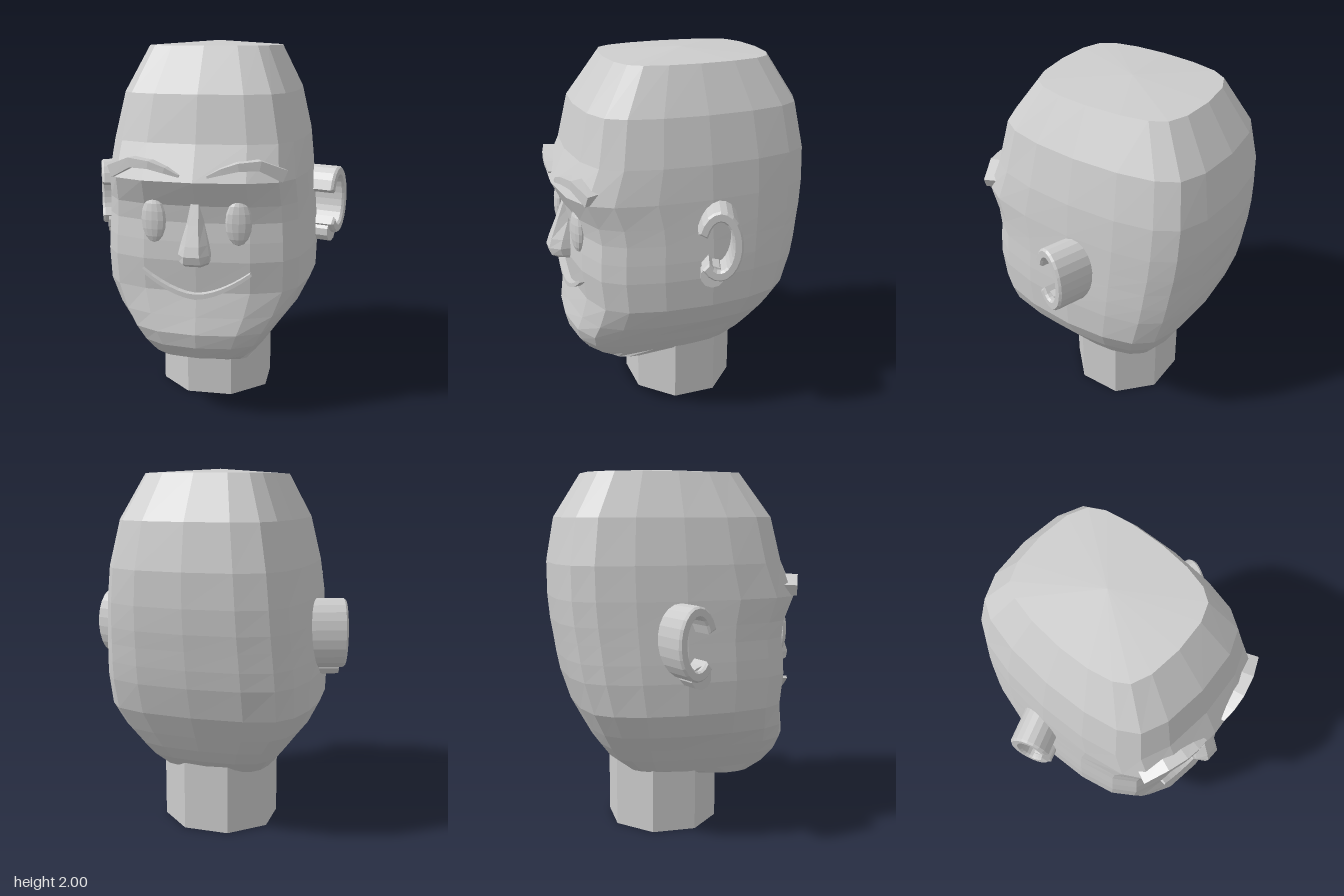
import * as THREE from 'three';

// Skin through closed rings that run counter-clockwise about the travel direction
function loft(rings, endTip) {
  const pos = [];
  const tri = (...p) => p.forEach(v => pos.push(v.x, v.y, v.z));
  const mean = r => r.reduce((s, v) => s.add(v), new THREE.Vector3()).divideScalar(r.length);
  const n = rings[0].length, first = rings[0], last = rings[rings.length - 1];
  const c0 = mean(first), c1 = endTip || mean(last);
  for (let j = 0; j < n; j++) {
    const k = (j + 1) % n;
    for (let i = 0; i < rings.length - 1; i++) {
      const a = rings[i][j], b = rings[i][k], c = rings[i + 1][k], d = rings[i + 1][j];
      tri(a, b, c);
      tri(a, c, d);
    }
    tri(c0, first[k], first[j]);
    tri(c1, last[j], last[k]);
  }
  const g = new THREE.BufferGeometry();
  g.setAttribute('position', new THREE.Float32BufferAttribute(pos, 3));
  g.computeVertexNormals();
  return g;
}

// Tapering four-sided strip along +x; stations are [x, y, z, halfHeight, halfDepth]
function strip(stations) {
  const pts = stations.map(s => new THREE.Vector3(s[0], s[1], s[2]));
  return loft(stations.map(([, , , h, d], i) => {
    const t = pts[Math.min(i + 1, pts.length - 1)].clone().sub(pts[Math.max(i - 1, 0)]).normalize();
    const side = new THREE.Vector3(-t.z, 0, t.x).normalize();
    const up = new THREE.Vector3().crossVectors(side, t);
    return [[1, -1], [1, 1], [-1, 1], [-1, -1]].map(([u, s]) =>
      pts[i].clone().addScaledVector(up, u * h).addScaledVector(side, s * d));
  }));
}

export function createModel() {
  const group = new THREE.Group();
  const grey = new THREE.MeshStandardMaterial({ color: 0xcccccc, flatShading: true });
  grey.name = 'grey';
  const add = (name, geo, parent = group) => {
    const m = new THREE.Mesh(geo, grey);
    m.name = name;
    parent.add(m);
    return m;
  };

  // Head: rounded-rectangle rings, [y, halfWidth, zFront, zBack]
  const quarter = [[0, 1], [0.48, 0.965], [0.76, 0.87], [0.89, 0.7], [0.97, 0.4], [1, 0]];
  const back = quarter.slice(0, 5).reverse().map(([u, v]) => [u, -v]);
  const half = [...quarter, ...back];
  const outline = [...half, ...half.slice(1, -1).reverse().map(([u, v]) => [-u, v])];
  const levels = [
    [0.3, 0.265, 0.43, 0.1], [0.35, 0.317, 0.55, -0.31], [0.43, 0.38, 0.61, -0.41],
    [0.51, 0.44, 0.63, -0.47], [0.6, 0.51, 0.61, -0.52], [0.73, 0.575, 0.585, -0.59],
    [0.9, 0.58, 0.605, -0.645], [1.0, 0.575, 0.6, -0.665], [1.1, 0.567, 0.59, -0.68],
    [1.19, 0.56, 0.605, -0.695], [1.32, 0.55, 0.67, -0.707], [1.5, 0.53, 0.585, -0.708],
    [1.74, 0.473, 0.53, -0.665], [1.975, 0.355, 0.36, -0.515],
  ];
  add('head', loft(levels.map(([y, w, zf, zb]) => {
    const zc = y < 0.32 ? (zf + zb) / 2 : -0.05;
    return outline.map(([u, v]) =>
      new THREE.Vector3(u * w, y, zc + v * (v > 0 ? zf - zc : zc - zb)));
  }), new THREE.Vector3(0, 2, -0.08)));

  // Neck: octagonal column
  const neck = new THREE.CylinderGeometry(0.315, 0.315, 0.6, 8);
  neck.rotateY(Math.PI / 8).scale(1.05, 1, 1).translate(0, 0.3, -0.06);
  add('neck', neck);

  // Nose: widening wedge, [y, halfWidth, ridgeHalfWidth, zFront]
  const nose = [[0.89, 0.068, 0.04, 0.66], [0.91, 0.078, 0.045, 0.695], [0.95, 0.08, 0.04, 0.706],
    [1.0, 0.07, 0.035, 0.69], [1.1, 0.045, 0.025, 0.65], [1.21, 0.036, 0.02, 0.607]];
  add('nose', loft(nose.map(([y, w, f, z]) =>
    [[f, z], [w, z - 0.055], [w, 0.52], [-w, 0.52], [-w, z - 0.055], [-f, z]]
      .map(([x, zz]) => new THREE.Vector3(x, y, zz)))));

  // Mouth: smiling strip
  const smile = [];
  for (let i = -6; i <= 6; i++) {
    const t = i / 6, a = Math.abs(t);
    smile.push([t * 0.285, 0.715 + 0.13 * Math.pow(a, 1.7), 0.597 - 0.015 * a * a,
      0.014 - 0.006 * a, 0.022]);
  }
  add('mouth', strip(smile));

  // Paired features, built on the model's left and mirrored
  const earShape = new THREE.Shape();
  const arc = (rx, ry, from, to, n) => Array.from({ length: n + 1 }, (_, i) => {
    const a = from + (to - from) * i / n;
    return new THREE.Vector2(Math.cos(a) * rx, Math.sin(a) * ry);
  });
  earShape.setFromPoints([...arc(0.108, 0.182, -2.35, 2.72, 18), ...arc(0.076, 0.145, 2.72, -2.35, 18)]);
  const earGeo = new THREE.ExtrudeGeometry(earShape, {
    depth: 0.2, bevelEnabled: true, bevelSize: 0.01, bevelThickness: 0.012, bevelSegments: 1, steps: 1,
  }).translate(0, 0, -0.212);
  const lobeGeo = new THREE.CylinderGeometry(0.062, 0.062, 0.2, 10)
    .rotateX(Math.PI / 2).translate(-0.035, -0.175, -0.13);
  const eyeGeo = new THREE.SphereGeometry(1, 12, 8).scale(0.068, 0.12, 0.03);
  const browGeo = strip([[0.07, 1.35, 0.645, 0.006, 0.02], [0.14, 1.378, 0.64, 0.015, 0.03],
    [0.22, 1.402, 0.628, 0.02, 0.035], [0.32, 1.408, 0.6, 0.025, 0.037],
    [0.435, 1.352, 0.55, 0.032, 0.037]]);

  for (const [side, s] of [['left', 1], ['right', -1]]) {
    const features = new THREE.Group();
    features.name = side + 'Features';
    features.scale.x = s;
    group.add(features);

    const ear = new THREE.Group();
    ear.name = side + 'Ear';
    ear.position.set(0.7, 1.12, -0.03);
    ear.rotation.y = THREE.MathUtils.degToRad(70);
    features.add(ear);
    add(side + 'EarRim', earGeo, ear);
    add(side + 'EarLobe', lobeGeo, ear);

    const eye = add(side + 'Eye', eyeGeo, features);
    eye.position.set(0.22, 1.11, 0.585);
    eye.rotation.y = 0.15;
    add(side + 'Eyebrow', browGeo, features);
  }
  return group;
}
